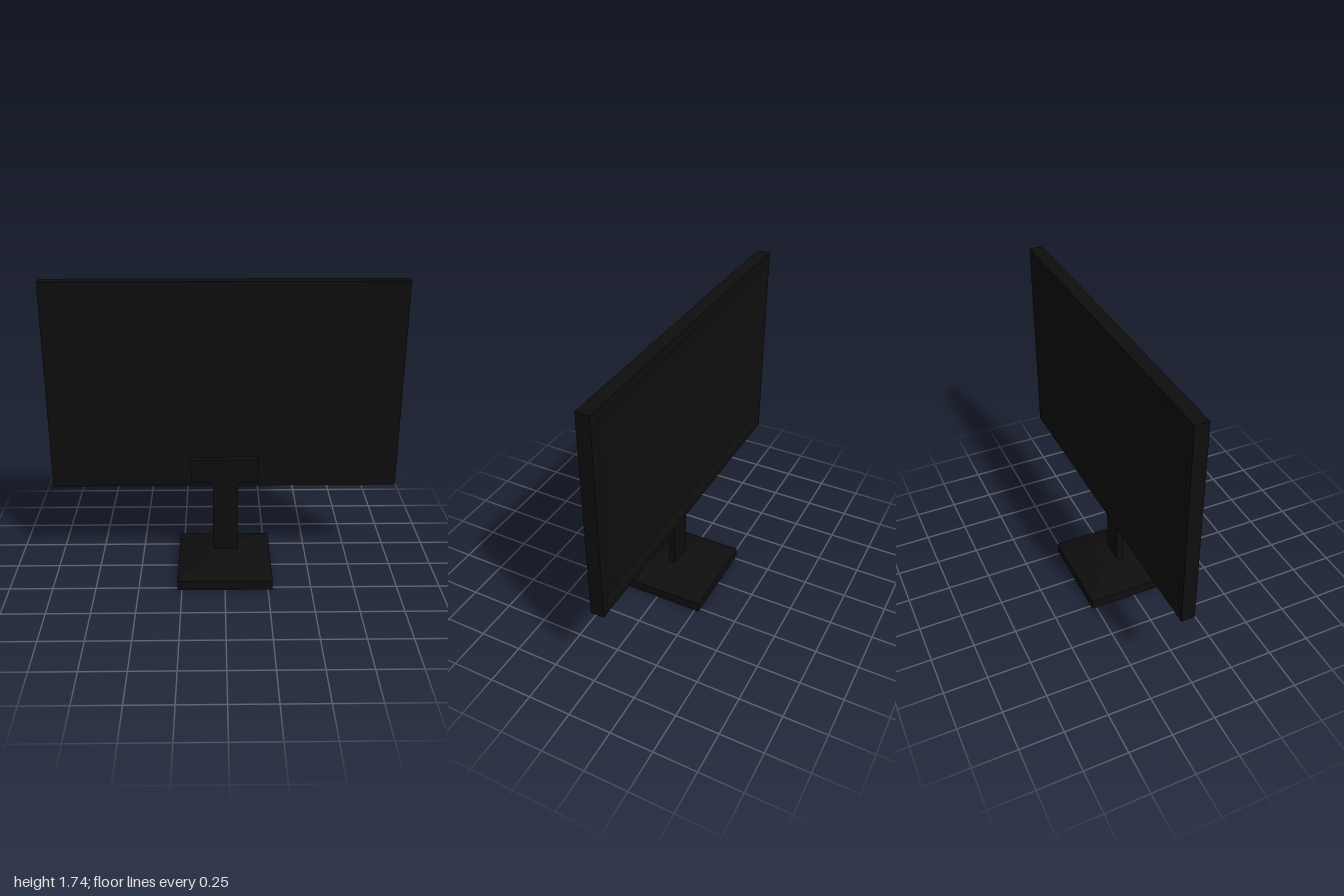
import * as THREE from 'three';

const black = new THREE.MeshStandardMaterial({ color: 0x0e0e0e });
black.name = 'black plastic';

// Closed solid lofted along +z through rectangles [halfWidth, halfHeight, z]
function loftRects(rects) {
  const loops = rects.map(([w, h, z]) => [[-w, -h, z], [w, -h, z], [w, h, z], [-w, h, z]]);
  const positions = [];
  const quad = (a, b, c, d) => positions.push(...a, ...b, ...c, ...a, ...c, ...d);
  for (let k = 0; k < loops.length - 1; k++) {
    for (let i = 0; i < 4; i++) {
      const j = (i + 1) % 4;
      quad(loops[k][i], loops[k][j], loops[k + 1][j], loops[k + 1][i]);
    }
  }
  const first = loops[0], last = loops[loops.length - 1];
  quad(first[3], first[2], first[1], first[0]);
  quad(last[0], last[1], last[2], last[3]);
  const geometry = new THREE.BufferGeometry();
  geometry.setAttribute('position', new THREE.Float32BufferAttribute(positions, 3));
  geometry.computeVertexNormals();
  return geometry;
}

export function createModel() {
  const model = new THREE.Group();
  model.name = 'monitor';

  const add = (name, geometry, x, y, z) => {
    const mesh = new THREE.Mesh(geometry, black);
    mesh.name = name;
    mesh.position.set(x, y, z);
    model.add(mesh);
  };

  // Display housing, with a sloped bezel around the recessed screen on the -z side
  const display = loftRects([
    [1, 0.605, 0.015],
    [1, 0.605, 0.092],
    [0.955, 0.56, 0.092],
    [0.92, 0.525, 0.08],
  ]).rotateY(Math.PI);
  add('display', display, 0, 1.135, 0);

  // Mounting plate and neck
  add('mountPlate', new THREE.BoxGeometry(0.39, 0.145, 0.04), 0, 0.64, 0.004);
  add('neck', new THREE.BoxGeometry(0.145, 0.53, 0.036), 0.005, 0.375, 0.002);

  // Square foot with a sloped top
  const base = loftRects([
    [0.275, 0.275, 0],
    [0.275, 0.275, 0.06],
    [0.085, 0.095, 0.125],
  ]).rotateX(-Math.PI / 2);
  add('base', base, 0, 0, 0);

  return model;
}
